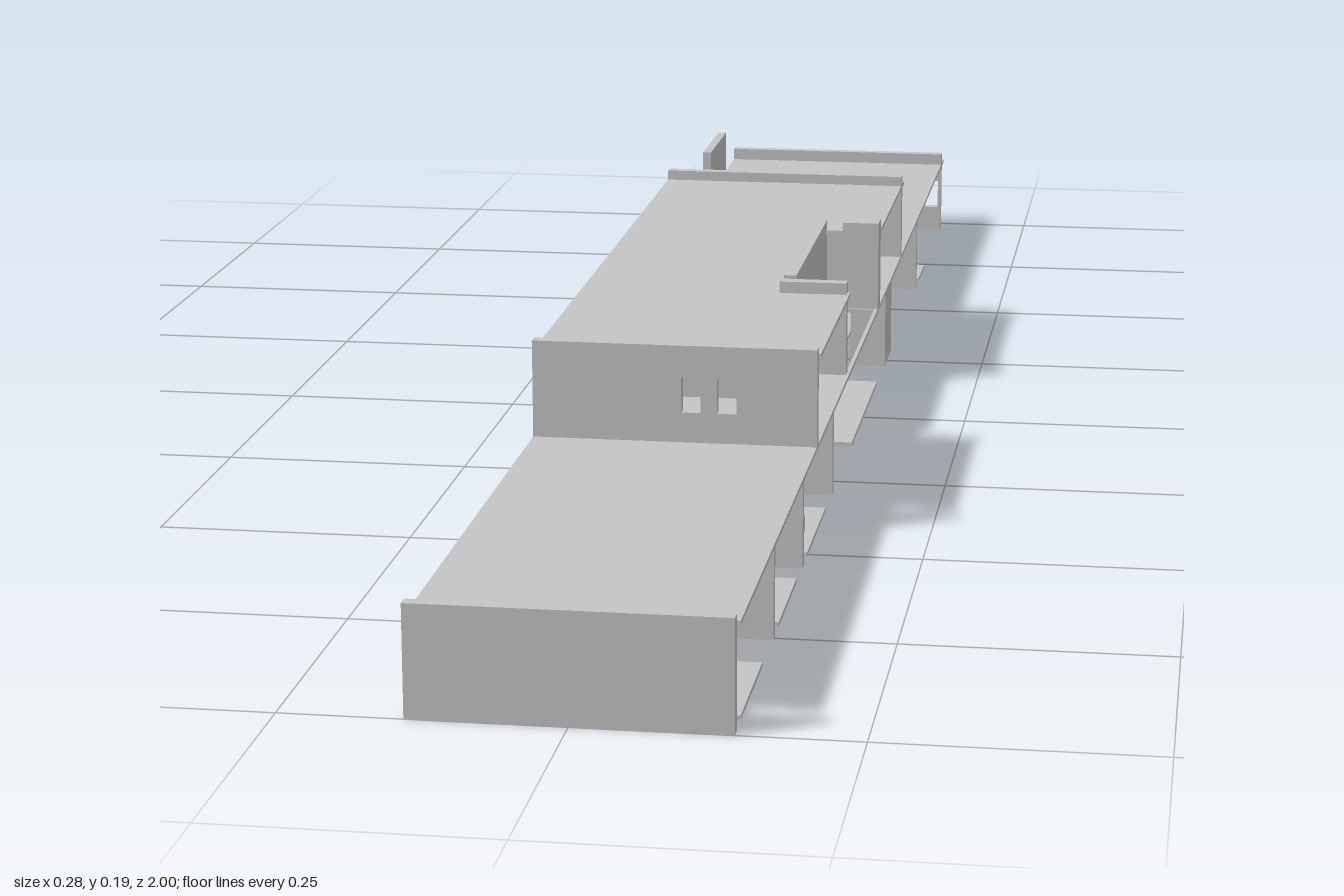
import * as THREE from 'three';

export function createModel() {
  const model = new THREE.Group();
  model.name = 'longBuilding';
  const grey = new THREE.MeshStandardMaterial({ color: 0xc4c4c4 });
  grey.name = 'plain grey';

  const add = (name, geometry) => {
    const mesh = new THREE.Mesh(geometry, grey);
    mesh.name = name;
    model.add(mesh);
    return mesh;
  };
  // Box given by its limits on each axis
  const block = (name, x0, x1, y0, y1, z0, z1) =>
    add(name, new THREE.BoxGeometry(x1 - x0, y1 - y0, z1 - z0))
      .position.set((x0 + x1) / 2, (y0 + y1) / 2, (z0 + z1) / 2);
  const rectPath = (path, [x0, x1, y0, y1]) =>
    path.moveTo(x0, y0).lineTo(x1, y0).lineTo(x1, y1).lineTo(x0, y1).closePath();
  const withHoles = (shape, holes) => {
    for (const h of holes) {
      const path = new THREE.Path();
      rectPath(path, h);
      shape.holes.push(path);
    }
    return shape;
  };
  // Horizontal slab from an x,z outline, with rectangular holes [x0, x1, z0, z1]
  const slab = (name, top, outline, holes = [], depth = 0.004) => {
    const shape = withHoles(new THREE.Shape(outline.map(p => new THREE.Vector2(...p))), holes);
    const g = new THREE.ExtrudeGeometry(shape, { depth, bevelEnabled: false });
    g.rotateX(Math.PI / 2).translate(0, top, 0);
    return add(name, g);
  };
  // Cross wall with window openings [x0, x1, y0, y1]
  const windowWall = (name, y0, y1, z, windows) => {
    const shape = new THREE.Shape();
    rectPath(shape, [-W, W, y0, y1]);
    const g = new THREE.ExtrudeGeometry(withHoles(shape, windows), { depth: 0.012, bevelEnabled: false });
    add(name, g.translate(0, 0, z - 0.006));
  };
  const W = 0.14;

  // Lower roof, which is also the upper floor; open over the terrace, stairs and rear skylights
  slab('lowerRoof', 0.088,
    [[-W, -1], [W, -1], [W, 0.965], [-W, 0.965], [-W, 0.2], [-0.08, 0.2], [-0.08, -0.2], [-W, -0.2]],
    [[0.1, 0.136, -0.135, 0.12], [-0.134, -0.11, -0.83, -0.79], [-0.134, -0.11, -0.755, -0.72]]);

  // Upper roof, notched above the terrace
  slab('upperRoof', 0.174,
    [[-W, -0.437], [W, -0.437], [W, -0.15], [0.075, -0.15], [0.075, 0.145], [W, 0.145], [W, 0.405], [-W, 0.405]]);

  // End walls
  block('frontEndWall', -W, W, 0, 0.102, 0.988, 1);
  windowWall('rearEndWall', 0, 0.102, -0.97,
    [0.118, 0.08, -0.026, -0.061].map(x => [x, x + 0.018, 0.03, 0.066]));
  const upperWindows = [[0.007, 0.026, 0.118, 0.153], [0.042, 0.061, 0.118, 0.153]];
  windowWall('upperFrontWall', 0.088, 0.185, 0.428, upperWindows);
  windowWall('upperRearWall', 0.088, 0.185, -0.41, upperWindows);

  // Cross walls between the lower rooms
  for (const z of [0.75, 0.54, 0.295, -0.615]) block('lowerCrossWall', -W, W, 0, 0.085, z - 0.005, z + 0.005);
  block('stairCrossWall', -W, 0, 0, 0.085, -0.295, -0.285);

  // Cross walls between the upper rooms
  for (const z of [0.26, -0.23]) block('upperCrossWall', -0.1, 0.12, 0.088, 0.171, z - 0.005, z + 0.005);
  block('upperCoreWall', 0.06, 0.066, 0.088, 0.171, 0.155, 0.24);
  block('upperCoreWall', 0.06, 0.066, 0.088, 0.171, -0.23, -0.13);

  // Terrace surround rising past the upper roof
  block('terraceBackWall', 0.067, 0.08, 0.088, 0.184, -0.16, 0.118);
  block('terraceFrontPier', 0.067, 0.137, 0.088, 0.186, 0.142, 0.156);
  block('terraceRearPier', 0.1, W, 0.088, 0.186, -0.165, -0.138);

  // Lower piers beside the entrance
  block('entrancePier', 0.1, W, 0, 0.085, -0.295, -0.225);
  block('stairPier', -0.06, -0.045, 0, 0.085, 0.2, 0.265);

  // Floors of the front rooms, each stepped back on the open side
  for (const [z0, z1, step] of [[0.756, 0.965, 0.83], [0.546, 0.72, 0.59], [0.302, 0.51, 0.36]]) {
    slab('frontRoomFloor', 0.005, [[-W, z0], [0.08, z0], [0.08, step], [W, step], [W, z1], [-W, z1]]);
  }

  // Hall floor with the projecting terrace
  slab('hallFloor', 0.005, [
    [-W, -0.1], [-0.06, -0.1], [-0.06, -0.2], [0.07, -0.2], [0.07, -0.135], [W, -0.135],
    [W, 0.12], [0.07, 0.12], [0.07, 0.22], [-0.06, 0.22], [-0.06, 0.1], [-W, 0.1]]);

  // Floors of the rear rooms
  slab('rearRoomFloor', 0.005, [[-W, -0.605], [0.085, -0.605], [0.085, -0.32], [-W, -0.32]]);
  slab('rearPorchFloor', 0.005, [[-0.1, -0.725], [W, -0.725], [W, -0.65], [-0.1, -0.65]]);
  slab('rearCornerFloor', 0.005, [[-W, -0.965], [0, -0.965], [0, -0.85], [-W, -0.85]]);

  // Mirrored flights of open treads descending to the middle
  for (const side of [1, -1]) {
    for (let i = 0; i < 7; i++) {
      const near = 0.135 - i * 0.016, far = Math.min(0.2, near + 0.06);
      block('stairTread', -W, -0.075, 0.066 - i * 0.01, 0.071 - i * 0.01,
        Math.min(side * near, side * far), Math.max(side * near, side * far));
    }
  }

  // Rows of thin window ledges
  for (let z = -0.37; z < 0.4; z += 0.055) block('upperLedge', -W, -0.122, 0.141, 0.145, z, z + 0.034);
  for (let z = -0.6; z < -0.31; z += 0.055) block('lowerLedge', -W, -0.122, 0.058, 0.062, z, z + 0.034);

  // Rear side screen, chimney and small front bench
  block('sideScreen', -W, -0.13, 0, 0.152, -0.82, -0.685);
  block('chimney', 0.031, 0.072, 0.06, 0.122, -0.665, -0.652);
  block('bench', 0.105, 0.135, 0.02, 0.036, 0.485, 0.508);

  return model;
}
